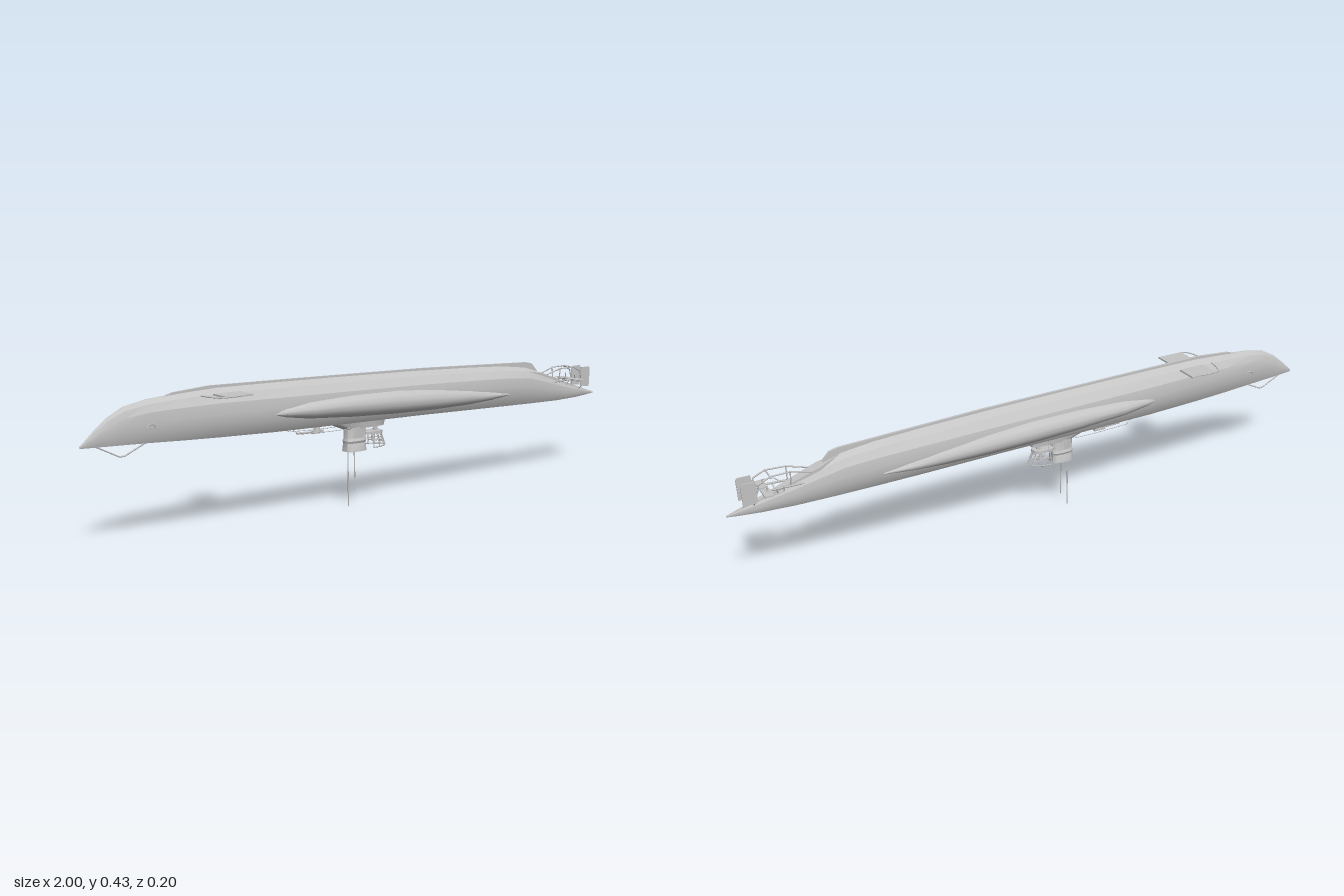
import * as THREE from 'three';
import { toCreasedNormals } from 'three/addons/utils/BufferGeometryUtils.js';

const grey = new THREE.MeshStandardMaterial({ color: 0xc4c4c4 });
grey.name = 'hull grey';
grey.side = THREE.DoubleSide;

const V = (x, y, z) => new THREE.Vector3(x, y, z);

// Closed skin through rings of [x, y, z] points, capped at both ends
function loft(rings, crease = 0.45) {
  const n = rings[0].length, idx = [];
  for (let i = 0; i < rings.length - 1; i++) {
    for (let j = 0; j < n; j++) {
      const a = i * n + j, c = i * n + (j + 1) % n;
      idx.push(a, c, a + n, a + n, c, c + n);
    }
  }
  const e = (rings.length - 1) * n;
  for (let j = 1; j < n - 1; j++) idx.push(0, j + 1, j, e, e + j, e + j + 1);
  const g = new THREE.BufferGeometry();
  g.setAttribute('position', new THREE.Float32BufferAttribute(rings.flat(2), 3));
  g.setIndex(idx);
  return toCreasedNormals(g, crease);
}

function add(parent, name, geo, x = 0, y = 0, z = 0) {
  const m = new THREE.Mesh(geo, grey);
  m.name = name;
  m.position.set(x, y, z);
  parent.add(m);
  return m;
}

// Straight round bars joined along a list of points
function bars(parent, name, pts, r = 0.0015) {
  const g = new THREE.Group();
  g.name = name;
  for (let i = 0; i < pts.length - 1; i++) {
    const a = V(...pts[i]), b = V(...pts[i + 1]), d = b.clone().sub(a);
    const m = add(g, name + 'Bar', new THREE.CylinderGeometry(r, r, d.length(), 6));
    m.position.copy(a).add(b).multiplyScalar(0.5);
    m.quaternion.setFromUnitVectors(V(0, 1, 0), d.normalize());
  }
  parent.add(g);
}

// Flat plate with its outline in x, y
function plate(pts, depth) {
  const s = new THREE.Shape(pts.map(p => new THREE.Vector2(...p)));
  return new THREE.ExtrudeGeometry(s, { depth, bevelEnabled: false }).translate(0, 0, -depth / 2);
}

export function createModel() {
  const root = new THREE.Group();
  root.name = 'submarine';

  // Hull stations: x, keel height, deck height, half width
  const stations = [
    [-1, 0.297, 0.29, 0.002], [-0.96, 0.333, 0.289, 0.008], [-0.92, 0.365, 0.288, 0.014],
    [-0.87, 0.391, 0.287, 0.021], [-0.8, 0.405, 0.285, 0.029], [-0.7, 0.412, 0.281, 0.038],
    [-0.58, 0.417, 0.277, 0.046], [-0.4, 0.415, 0.272, 0.053], [-0.15, 0.411, 0.268, 0.055],
    [0.15, 0.404, 0.264, 0.055], [0.4, 0.395, 0.258, 0.052], [0.55, 0.387, 0.254, 0.046],
    [0.65, 0.375, 0.251, 0.039], [0.72, 0.352, 0.249, 0.032], [0.8, 0.324, 0.247, 0.024],
    [0.9, 0.29, 0.248, 0.013], [0.97, 0.268, 0.252, 0.005], [1, 0.259, 0.255, 0.002],
  ];
  // Half section as depth and width fractions; the stern is flat on top
  const half = [[0, 0.08], [0.1, 0.56], [0.28, 0.9], [0.5, 1], [0.72, 0.93], [0.9, 0.76], [1, 0.6]];
  const section = [...half.map(p => [...p, 1]), ...half.map(p => [...p, -1]).reverse()];
  add(root, 'hull', loft(stations.map(([x, top, bot, w]) => section.map(([t, k, s]) =>
    [x, top + (bot - top) * t, s * w * Math.max(k, x > 0.7 ? 0.6 : 0)])), 0.3));

  // Ridge along the keel, stepping down towards the stern
  add(root, 'keel', plate([[-0.8, 0.39], [-0.72, 0.416], [-0.6, 0.425], [-0.3, 0.42], [0.2, 0.41],
    [0.66, 0.392], [0.685, 0.386], [0.71, 0.36], [0.7, 0.35], [0.5, 0.37], [0, 0.39], [-0.6, 0.4]], 0.008));

  // Saddle tanks: x, upper edge, lower edge, outermost z
  const tank = [
    [-0.41, 0.333, 0.322, 0.05], [-0.37, 0.345, 0.312, 0.062], [-0.28, 0.355, 0.3, 0.075],
    [-0.12, 0.361, 0.288, 0.078], [0.05, 0.359, 0.28, 0.078], [0.2, 0.349, 0.277, 0.073],
    [0.35, 0.333, 0.278, 0.065], [0.46, 0.315, 0.284, 0.057], [0.54, 0.3, 0.292, 0.046],
  ];
  for (const s of [1, -1]) {
    add(root, s > 0 ? 'leftTank' : 'rightTank', loft(tank.map(([x, top, bot, out]) =>
      Array.from({ length: 14 }, (_, i) => {
        const a = s * i / 14 * Math.PI * 2;
        return [x, (top + bot) / 2 + Math.cos(a) * (top - bot) / 2, s * 0.034 + Math.sin(a) * (out - 0.034)];
      })), 0.7));

    // Bow plane with its guard rail
    add(root, 'bowPlane', new THREE.BoxGeometry(0.09, 0.005, 0.07), -0.557, 0.402, s * 0.062);
    bars(root, 'bowPlaneGuard', [[-0.64, 0.402, s * 0.025], [-0.632, 0.402, s * 0.065],
      [-0.62, 0.402, s * 0.092], [-0.602, 0.402, s * 0.098], [-0.55, 0.402, s * 0.096]], 0.002);

    // Anchor recess rim
    add(root, 'anchor', new THREE.TorusGeometry(0.014, 0.002, 6, 12, Math.PI), -0.8, 0.325, s * 0.029);

    // Propeller shaft, strut, blades and rudder
    bars(root, 'propellerShaft', [[0.73, 0.313, s * 0.018], [0.885, 0.318, s * 0.022]], 0.003);
    bars(root, 'shaftStrut', [[0.855, 0.317, s * 0.022], [0.845, 0.285, s * 0.006]], 0.002);
    for (let i = 0; i < 3; i++) {
      const blade = add(root, 'propellerBlade', new THREE.CylinderGeometry(0.008, 0.008, 0.002, 10)
        .scale(0.65, 1, 1).rotateX(Math.PI / 2).rotateY(1).translate(0, 0.01, 0), 0.882, 0.318, s * 0.022);
      blade.rotation.x = i * Math.PI * 2 / 3;
    }
    add(root, 'rudder', plate([[0.912, 0.29], [0.954, 0.285], [0.957, 0.35], [0.952, 0.356],
      [0.914, 0.356], [0.91, 0.33]], 0.004), 0, 0, s * 0.022);
    bars(root, 'rudderPost', [[0.92, 0.275, s * 0.006], [0.92, 0.29, s * 0.022]], 0.002);
    add(root, 'sternPlane', new THREE.BoxGeometry(0.026, 0.004, 0.05), 0.885, 0.316, s * 0.029);

    // Stern guard frame over the propellers
    bars(root, 'sternGuard', [[0.72, 0.335, s * 0.014], [0.81, 0.36, s * 0.02], [0.87, 0.361, s * 0.024],
      [0.905, 0.345, s * 0.025], [0.912, 0.318, s * 0.025]], 0.0022);
    bars(root, 'sternGuardPost', [[0.81, 0.36, s * 0.02], [0.81, 0.31, s * 0.014]], 0.002);
    bars(root, 'sternPlaneGuard', [[0.83, 0.318, s * 0.016], [0.84, 0.318, s * 0.045], [0.872, 0.318, s * 0.053]]);

    // Deck rails near the tower
    bars(root, 'deckRail', [[-0.33, 0.27, s * 0.026], [-0.31, 0.254, s * 0.026], [-0.2, 0.25, s * 0.026],
      [-0.12, 0.25, s * 0.026], [-0.12, 0.27, s * 0.026]], 0.001);
    bars(root, 'platformStay', [[-0.02, 0.27, s * 0.03], [-0.02, 0.225, s * 0.029]], 0.001);
  }
  bars(root, 'sternGuardCrossbar', [[0.87, 0.361, -0.024], [0.87, 0.361, 0.024]], 0.002);

  // Net cutter stay under the bow
  bars(root, 'bowStay', [[-0.955, 0.29, 0], [-0.885, 0.254, 0], [-0.87, 0.254, 0], [-0.8, 0.286, 0]], 0.0022);

  // Conning tower: rounded plan rings from the deck to the flared rim
  const plan = (y, x0, x1, w) => Array.from({ length: 16 }, (_, i) => {
    const a = i / 16 * Math.PI * 2, c = Math.cos(a), q = Math.sin(a);
    return [(x0 + x1) / 2 + Math.sign(c) * Math.abs(c) ** 0.7 * (x1 - x0) / 2, y, Math.sign(q) * Math.abs(q) ** 0.7 * w];
  });
  add(root, 'towerBase', loft([plan(0.275, -0.2, 0.05, 0.026), plan(0.262, -0.17, 0.035, 0.024),
    plan(0.245, -0.125, 0.03, 0.022)].reverse()));
  add(root, 'tower', loft([plan(0.26, -0.118, -0.045, 0.022), plan(0.215, -0.118, -0.045, 0.022),
    plan(0.207, -0.121, -0.043, 0.026), plan(0.2, -0.119, -0.045, 0.023),
    plan(0.174, -0.122, -0.043, 0.027)].reverse()));

  // Gun platform and its flared railing
  add(root, 'gunPlatform', loft([plan(0.222, -0.055, 0.022, 0.024), plan(0.23, -0.055, 0.022, 0.024)]));
  const rail = (y, x, w) => Array.from({ length: 9 }, (_, i) => {
    const a = (i / 8 - 0.5) * Math.PI;
    return [-0.03 + Math.cos(a) * (x + 0.03), y, Math.sin(a) * w];
  });
  const foot = rail(0.226, 0.02, 0.023), mid = rail(0.203, 0.028, 0.029), top = rail(0.182, 0.035, 0.034);
  bars(root, 'upperRail', top, 0.002);
  bars(root, 'middleRail', mid);
  foot.forEach((p, i) => bars(root, 'railPost', [p, top[i]]));
  add(root, 'platformPillar', new THREE.CylinderGeometry(0.006, 0.008, 0.03, 10), 0, 0.245, 0);

  // Anti-aircraft gun on the platform
  add(root, 'gunPedestal', new THREE.CylinderGeometry(0.005, 0.007, 0.028, 8), -0.008, 0.21, 0);
  bars(root, 'gunBarrel', [[-0.025, 0.202, 0], [0.032, 0.194, 0]], 0.0025);

  // Deck gun forward of the tower
  add(root, 'deckGunMount', new THREE.CylinderGeometry(0.009, 0.012, 0.024, 10), -0.225, 0.26, 0);
  add(root, 'deckGunBreech', new THREE.BoxGeometry(0.04, 0.01, 0.012), -0.225, 0.249, 0);
  bars(root, 'deckGunBarrel', [[-0.225, 0.249, 0], [-0.3, 0.252, 0]], 0.003);

  // Periscopes: each a thicker lower tube and a slim head
  for (const [x, y] of [[-0.11, 0], [-0.085, 0.045]]) {
    bars(root, 'periscopeTube', [[x, 0.2, 0.003], [x, y + 0.045, 0.005]], 0.002);
    bars(root, 'periscopeHead', [[x, y + 0.05, 0.005], [x, y, 0.005]], 0.0014);
  }
  return root;
}
